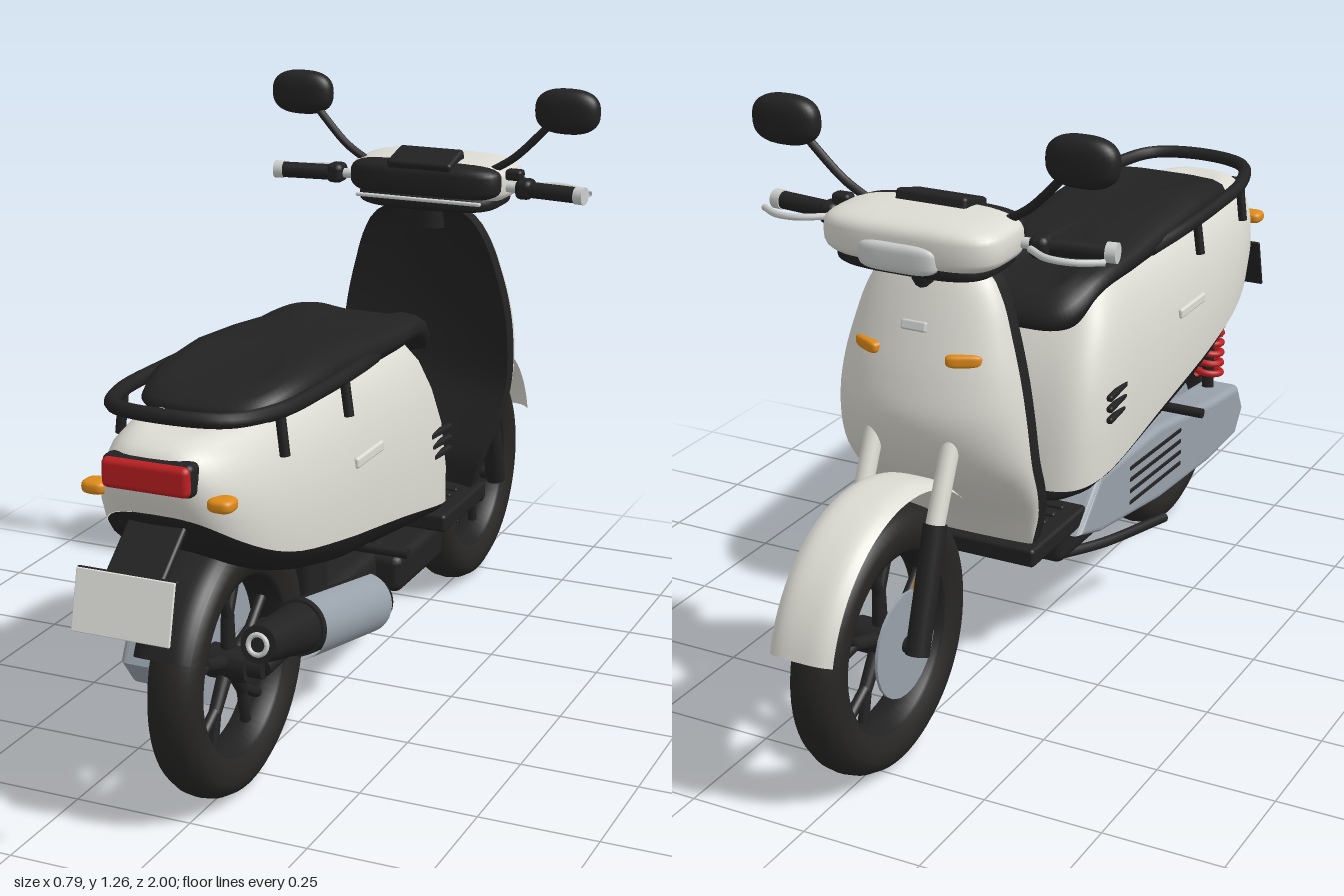
import * as THREE from 'three';
import { mergeVertices } from 'three/addons/utils/BufferGeometryUtils.js';
import { RoundedBoxGeometry } from 'three/addons/geometries/RoundedBoxGeometry.js';

const paint = (name, color) => {
  const m = new THREE.MeshStandardMaterial({ color, side: THREE.DoubleSide });
  m.name = name;
  return m;
};
const V = (p) => new THREE.Vector3(...p);
const spow = (v, e) => Math.sign(v) * Math.abs(v) ** e;

// Smooth y(z) curve through [z, y] points with ascending z
function curve(points) {
  const it = new THREE.CubicInterpolant(points.map((p) => p[0]), points.map((p) => p[1]), 1, new Float32Array(1));
  return (z) => it.evaluate(z)[0];
}

// Grid surface from fn(u, v) -> [x, y, z], welded so closed rings shade smoothly
function surface(fn, nu, nv) {
  const pos = [], idx = [];
  for (let j = 0; j <= nv; j++) for (let i = 0; i <= nu; i++) pos.push(...fn(i / nu, j / nv));
  for (let j = 0; j < nv; j++) for (let i = 0; i < nu; i++) {
    const a = j * (nu + 1) + i, b = a + nu + 1;
    idx.push(a, b, a + 1, b, b + 1, a + 1);
  }
  const g = new THREE.BufferGeometry();
  g.setAttribute('position', new THREE.Float32BufferAttribute(pos, 3));
  g.setIndex(idx);
  const m = mergeVertices(g, 1e-5);
  m.computeVertexNormals();
  return m;
}

// Stacked plan outlines; levels are [t, halfWidth, zFront, zBack], t runs from low(z) to top(z)
function shell(levels, low, top, zc, nFront, nBack) {
  const n = levels.length - 1;
  return surface((u, v) => {
    const [t, w, zf, zb] = levels[Math.round(v * n)];
    const a = u * 2 * Math.PI, c = Math.cos(a), s = Math.sin(a);
    const e = 2 / (c > 0 ? nBack : nFront);
    const z = zc + spow(c, e) * (c > 0 ? zb - zc : zc - zf);
    return [w * spow(Math.abs(s) < 1e-9 ? 0 : s, e), low(z) + t * (top(z) - low(z)), z];
  }, 72, n);
}

// Rounded pillow shape
const pillow = (a, b, c, n) => surface((u, v) => {
  const p = (u * 2 - 1) * Math.PI, q = (v - 0.5) * Math.PI, e = 2 / n;
  const k = Math.max(0, Math.cos(q)) ** e;
  return [a * k * spow(Math.cos(p), e), b * spow(Math.sin(q), e), c * k * spow(Math.sin(p), e)];
}, 40, 20);

export function createModel() {
  const white = paint('ivory paint', 0xdcdbd3), black = paint('black plastic', 0x222222);
  const grey = paint('grey metal', 0x98a1aa), silver = paint('light silver', 0xcccece);
  const red = paint('red', 0xbd1f22), orange = paint('amber lens', 0xdd8a18);
  const tyreMat = paint('tyre rubber', 0x272625), plateMat = paint('plate white', 0xf5f5ee);
  const root = new THREE.Group();
  root.name = 'scooter';
  const add = (name, geo, mat, pos = [0, 0, 0], rot = [0, 0, 0], parent = root) => {
    const m = new THREE.Mesh(geo, mat);
    m.name = name;
    m.position.set(...pos);
    m.rotation.set(...rot);
    parent.add(m);
    return m;
  };
  const box = (name, mat, size, pos, rot, r = 0.008) =>
    add(name, new RoundedBoxGeometry(...size, 2, Math.min(r, ...size.map((s) => s * 0.45))), mat, pos, rot);
  // Round bar between two points; an arc makes it an open half shell
  const bar = (name, mat, a, b, r1, r2 = r1, parent = root, arc = []) => {
    const d = V(b).sub(V(a)), mid = V(a).add(V(b)).multiplyScalar(0.5);
    const m = add(name, new THREE.CylinderGeometry(r2, r1, d.length(), 24, 1, arc.length > 0, ...arc), mat, mid.toArray(), [0, 0, 0], parent);
    m.quaternion.setFromUnitVectors(new THREE.Vector3(0, 1, 0), d.normalize());
    return m;
  };
  const tube = (name, mat, pts, r, seg = 40) =>
    add(name, new THREE.TubeGeometry(new THREE.CatmullRomCurve3(pts.map(V)), seg, r, 10), mat);

  // Wheels: tyre, rim, five forked spokes and hub
  const ring = (pts) => new THREE.LatheGeometry(pts.map((p) => new THREE.Vector2(...p)), 64);
  for (const [name, z] of [['frontWheel', -0.707], ['rearWheel', 0.575]]) {
    const w = new THREE.Group();
    w.name = name;
    w.position.set(0, 0.269, z);
    root.add(w);
    const turn = [0, 0, Math.PI / 2];
    add('tyre', ring([[0.185, -0.04], [0.21, -0.053], [0.235, -0.053], [0.255, -0.042], [0.266, -0.022], [0.269, 0],
      [0.266, 0.022], [0.255, 0.042], [0.235, 0.053], [0.21, 0.053], [0.185, 0.04]]), tyreMat, [0, 0, 0], turn, w);
    add('rim', ring([[0.188, -0.04], [0.178, -0.036], [0.168, 0], [0.178, 0.036], [0.188, 0.04]]), black, [0, 0, 0], turn, w);
    bar('hub', black, [-0.05, 0, 0], [0.05, 0, 0], 0.035, 0.035, w);
    for (let i = 0; i < 5; i++) {
      const at = (r, da) => [0, r * Math.cos(i * 1.2566 + da), r * Math.sin(i * 1.2566 + da)];
      bar('spoke', black, at(0.02, 0), at(0.105, 0), 0.016, 0.013, w);
      for (const s of [-1, 1]) bar('spokeFork', black, at(0.095, 0), at(0.178, s * 0.2), 0.011, 0.011, w);
    }
  }
  bar('brakeDisc', grey, [-0.058, 0.269, -0.707], [-0.052, 0.269, -0.707], 0.108);
  bar('rearDrum', grey, [-0.05, 0.269, 0.575], [-0.035, 0.269, 0.575], 0.09);
  box('brakeCaliper', orange, [0.035, 0.045, 0.03], [-0.06, 0.367, -0.64], [0.4, 0, 0]);

  // Fenders follow the wheels
  const fender = (cz, dir, a0, a1, r0, r1, w) => surface((u, v) => {
    const a = THREE.MathUtils.degToRad(a0 + (a1 - a0) * u), k = v * 2 - 1;
    const r = r0 + (r1 - r0) * u - 0.016 * k ** 4;
    return [w * k, 0.269 + r * Math.sin(a), cz + dir * r * Math.cos(a)];
  }, 32, 12);
  add('frontFender', fender(-0.707, -1, 17, 134, 0.306, 0.325, 0.068), white);
  add('rearFender', fender(0.575, 1, 22, 120, 0.308, 0.29, 0.06), black);

  // Rear bodywork: painted upper shell and dark lower skirt
  const low = curve([[-0.19, 0.39], [0.2, 0.47], [0.46, 0.515], [0.68, 0.565], [0.8, 0.625], [0.89, 0.695]]);
  const under = curve([[-0.19, 0.36], [0.2, 0.41], [0.46, 0.45], [0.68, 0.52], [0.8, 0.585], [0.89, 0.655]]);
  const top = curve([[-0.19, 0.805], [0.2, 0.82], [0.6, 0.82], [0.89, 0.808]]);
  add('rearBody', shell([[0, 0.198, -0.19, 0.865], [0.2, 0.201, -0.18, 0.88], [0.45, 0.196, -0.158, 0.885], [0.65, 0.184, -0.12, 0.882],
    [0.82, 0.167, -0.075, 0.874], [0.93, 0.143, -0.035, 0.858], [0.985, 0.118, 0, 0.835], [1, 0.09, 0.03, 0.81], [1, 0, 0.15, 0.15]],
  low, top, 0.15, 5, 3.3), white);
  add('lowerSkirt', shell([[0, 0, 0.15, 0.15], [0, 0.125, -0.18, 0.81], [0.2, 0.16, -0.19, 0.835], [0.6, 0.186, -0.193, 0.855],
    [1, 0.197, -0.188, 0.863]], under, low, 0.15, 5, 3.3), black);

  // Seat
  const seatLow = curve([[-0.17, 0.735], [-0.12, 0.745], [-0.06, 0.785], [0.1, 0.8], [0.69, 0.8]]);
  const seatTop = curve([[-0.17, 0.775], [-0.13, 0.808], [-0.08, 0.832], [0, 0.845], [0.18, 0.85], [0.3, 0.875], [0.46, 0.876], [0.6, 0.863], [0.69, 0.835]]);
  add('seat', shell([[0, 0, 0.25, 0.25], [0, 0.155, -0.165, 0.68], [0.4, 0.166, -0.172, 0.69], [0.75, 0.158, -0.165, 0.68],
    [0.93, 0.14, -0.15, 0.66], [1, 0.11, -0.125, 0.62], [1.02, 0, 0.25, 0.25]], seatLow, seatTop, 0.25, 5, 5), black);

  // Grab rail
  tube('grabRail', black, [[-0.15, 0.815, 0.2], [-0.168, 0.826, 0.32], [-0.173, 0.832, 0.5], [-0.163, 0.838, 0.68], [-0.115, 0.845, 0.79], [0, 0.848, 0.82],
    [0.115, 0.845, 0.79], [0.163, 0.838, 0.68], [0.173, 0.832, 0.5], [0.168, 0.826, 0.32], [0.15, 0.815, 0.2]], 0.015, 80);

  // Leg shield: painted front and dark inner panel; rows are [y, halfWidth, zFront, zRear]
  const rows = [[0.35, 0.155, -0.37, -0.34], [0.43, 0.178, -0.435, -0.352], [0.5, 0.196, -0.505, -0.39], [0.575, 0.205, -0.565, -0.43], [0.68, 0.202, -0.598, -0.447],
    [0.76, 0.191, -0.585, -0.449], [0.84, 0.171, -0.56, -0.444], [0.92, 0.143, -0.53, -0.434], [0.965, 0.112, -0.51, -0.428], [0.985, 0.08, -0.495, -0.428]];
  const row = (v) => [1, 2, 3].map((k) => curve(rows.map((r) => [r[0], r[k]]))(0.35 + v * 0.635));
  add('legShield', surface((u, v) => {
    const [w, zf, zr] = row(v), a = (u - 0.5) * Math.PI, ze = Math.max(zr - 0.03, zf + 0.005);
    return [w * Math.sin(a), 0.35 + v * 0.635, ze + (zf - ze) * Math.max(0, Math.cos(a)) ** 0.9];
  }, 32, 32), white);
  add('innerPanel', surface((u, v) => {
    const [w, zf, zr] = row(v), k = Math.min(1, Math.max(-1, (u * 2 - 1) * 1.15)), edge = Math.abs(u * 2 - 1) > 0.95;
    return [w * k * 1.01, 0.35 + v * 0.635, edge ? Math.max(zr - 0.034, zf) : zr - 0.03 * (1 - k * k)];
  }, 40, 32), black);
  bar('steeringNeck', black, [0, 0.93, -0.48], [0, 1.02, -0.48], 0.045);

  // Floor, chassis and engine
  box('floorboard', black, [0.35, 0.04, 0.26], [0, 0.34, -0.27]);
  for (let i = 0; i < 4; i++) box('floorRib', black, [0.28, 0.01, 0.018], [0, 0.362, -0.31 + i * 0.04]);
  box('chassis', black, [0.29, 0.085, 0.26], [0, 0.28, -0.085], [0, 0, 0], 0.02);
  box('engineBlock', black, [0.18, 0.085, 0.36], [0, 0.285, 0.13], [0, 0, 0], 0.03);
  box('engineMount', black, [0.15, 0.17, 0.1], [0, 0.38, 0.3], [0, 0, 0], 0.02);
  const cover = new THREE.Shape([[0.19, 0.315], [0.1, 0.397], [-0.2, 0.395], [-0.5, 0.345], [-0.64, 0.33], [-0.665, 0.28],
    [-0.63, 0.235], [-0.48, 0.228], [-0.2, 0.245], [0.1, 0.29]].map((p) => new THREE.Vector2(...p)));
  add('driveCover', new THREE.ExtrudeGeometry(cover, { depth: 0.065, bevelSize: 0.014, bevelThickness: 0.016, bevelSegments: 4 }),
    grey, [-0.17, 0, 0], [0, Math.PI / 2, 0]);
  for (let i = 0; i < 4; i++) box('coverVent', black, [0.006, 0.01, 0.27], [-0.185, 0.365 - i * 0.027, 0.17], [0.04, 0, 0], 0.002);
  bar('rearAxle', black, [-0.1, 0.269, 0.575], [0.08, 0.269, 0.575], 0.022);
  bar('swingArm', black, [0.085, 0.29, 0.25], [0.075, 0.269, 0.575], 0.018);

  // Rear shock with coil spring
  const coil = Array.from({ length: 73 }, (_, i) => {
    const a = i / 72 * 12 * Math.PI;
    return [-0.125 + 0.03 * Math.cos(a), 0.375 + 0.15 * i / 72, 0.6 + 0.03 * Math.sin(a)];
  });
  tube('shockSpring', red, coil, 0.008, 180);
  bar('shockRod', black, [-0.125, 0.32, 0.6], [-0.125, 0.57, 0.6], 0.014);

  // Exhaust with an outer heat shield
  bar('muffler', black, [0.176, 0.322, 0.29], [0.172, 0.388, 0.62], 0.055);
  bar('heatShield', grey, [0.176, 0.325, 0.31], [0.172, 0.388, 0.62], 0.062, 0.062, root, [Math.PI / 2 - 1.4, 2.8]);
  bar('mufflerFrontCap', black, [0.168, 0.318, 0.26], [0.176, 0.323, 0.295], 0.035, 0.055);
  bar('mufflerTail', black, [0.172, 0.388, 0.62], [0.177, 0.425, 0.8], 0.05, 0.036);
  add('exhaustRing', new THREE.TorusGeometry(0.019, 0.005, 8, 24), silver, [0.177, 0.426, 0.803], [-0.2, 0, 0]);
  tube('exhaustPipe', black, [[0.168, 0.318, 0.28], [0.15, 0.275, 0.17], [0.11, 0.215, 0.08], [0.05, 0.21, 0.02], [0, 0.25, 0]], 0.019);
  tube('sideStand', black, [[-0.1, 0.225, -0.15], [-0.15, 0.21, -0.02], [-0.2, 0.193, 0.19]], 0.011);
  bar('centreStand', black, [0.07, 0.235, -0.1], [0.07, 0.2, 0.08], 0.012);

  // Plate, bracket, tail lamp
  box('plateBracket', black, [0.12, 0.014, 0.19], [0, 0.61, 0.895], [0.68, 0, 0]);
  box('plateBacking', black, [0.204, 0.12, 0.008], [0, 0.538, 0.976], [-0.24, 0, 0], 0.003);
  box('licensePlate', plateMat, [0.2, 0.117, 0.006], [0, 0.539, 0.983], [-0.24, 0, 0], 0.002);
  box('tailLampFrame', black, [0.184, 0.064, 0.04], [0, 0.753, 0.868], [0, 0, 0], 0.012);
  box('tailLamp', red, [0.178, 0.058, 0.05], [0, 0.753, 0.873], [0, 0, 0], 0.012);

  // Handlebar housing, display and headlamp
  add('headCowl', pillow(0.192, 0.05, 0.105, 3.6), white, [0, 1.04, -0.51]);
  add('dashPanel', pillow(0.182, 0.042, 0.07, 3.8), black, [0, 1.044, -0.463]);
  add('cowlBase', pillow(0.168, 0.025, 0.105, 3.6), black, [0, 0.998, -0.5]);
  box('dashTrim', silver, [0.3, 0.008, 0.012], [0, 1.005, -0.395], [0, 0, 0], 0.003);
  box('display', black, [0.155, 0.04, 0.09], [0, 1.08, -0.442], [0.25, 0, 0]);
  box('switchButton', black, [0.04, 0.025, 0.03], [0.205, 1.065, -0.465]);
  add('headlamp', pillow(0.085, 0.03, 0.03, 4), silver, [0, 1.02, -0.597]);
  box('frontBadge', silver, [0.055, 0.02, 0.012], [0, 0.865, -0.552], [0.33, 0, 0], 0.004);

  // Paired parts
  for (const s of [-1, 1]) {
    bar('railStay', black, [s * 0.163, 0.835, 0.67], [s * 0.173, 0.75, 0.67], 0.01);
    bar('railStay', black, [s * 0.172, 0.83, 0.4], [s * 0.183, 0.75, 0.4], 0.01);
    box('bodyHandle', white, [0.012, 0.022, 0.13], [s * 0.195, 0.652, 0.33], [0, 0, 0], 0.005);
    for (let i = 0; i < 3; i++) box('bodyVent', black, [0.014, 0.014, 0.1], [s * 0.194, 0.585 - i * 0.025, -0.052], [0, s * -0.1, 0], 0.005);
    add('rearSignal', pillow(0.026, 0.014, 0.025, 3), orange, [s * 0.129, 0.705, 0.84]);
    add('frontSignal', pillow(0.036, 0.013, 0.014, 3.5), orange, [s * 0.105, 0.81, -0.548], [0, s * -0.5, 0]);
    bar('passengerPeg', black, [s * 0.12, 0.427, 0.265], [s * 0.255, 0.427, 0.265], 0.011);
    bar('upperFork', white, [s * 0.085, 0.68, -0.55], [s * 0.085, 0.48, -0.642], 0.019);
    bar('lowerFork', black, [s * 0.085, 0.5, -0.633], [s * 0.085, 0.255, -0.712], 0.024);
    bar('frontAxle', black, [0, 0.269, -0.707], [s * 0.1, 0.269, -0.707], 0.016);
    bar('handlebar', silver, [s * 0.16, 1.035, -0.47], [s * 0.24, 1.035, -0.462], 0.011);
    bar('grip', black, [s * 0.225, 1.035, -0.463], [s * 0.36, 1.035, -0.445], 0.018);
    bar('gripEnd', silver, [s * 0.355, 1.035, -0.446], [s * 0.376, 1.035, -0.443], 0.02);
    box('switchPod', black, [0.04, 0.045, 0.05], [s * 0.23, 1.035, -0.467], [0, 0, 0], 0.014);
    tube('brakeLever', silver, [[s * 0.22, 1.035, -0.495], [s * 0.27, 1.035, -0.528], [s * 0.32, 1.033, -0.525], [s * 0.372, 1.03, -0.49]], 0.007);
    tube('mirrorStem', black, [[s * 0.15, 1.07, -0.46], [s * 0.205, 1.105, -0.463], [s * 0.29, 1.19, -0.472]], 0.009);
    add('mirror', pillow(0.074, 0.05, 0.032, 2.6), black, [s * 0.32, 1.213, -0.478]);
  }
  return root;
}
